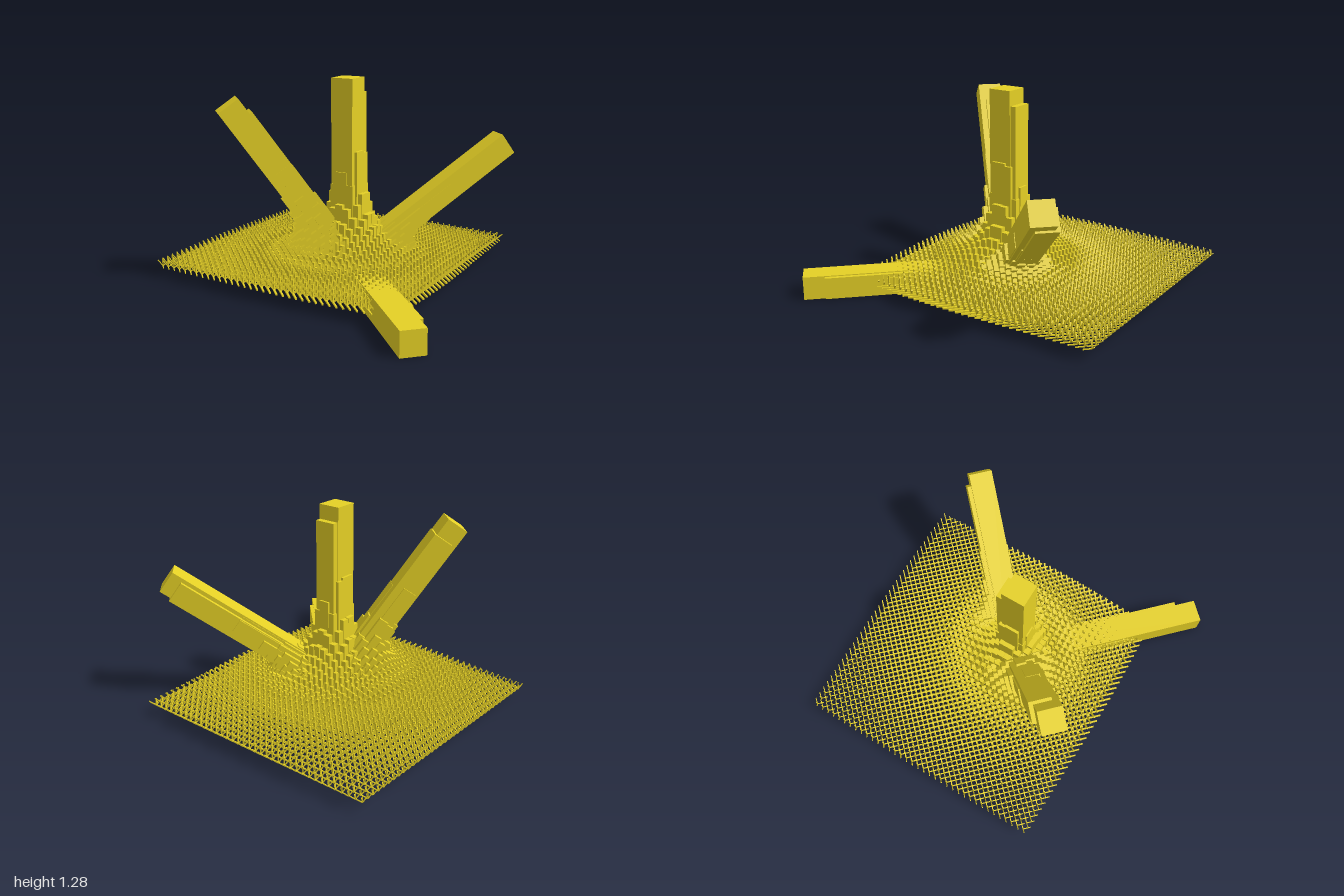
import * as THREE from 'three';
import { mergeGeometries } from 'three/addons/utils/BufferGeometryUtils.js';

const STEP = 0.0455;   // grid spacing
const WIDTH = 0.15;    // bar thickness at full size
const BASE = 0.075;    // height of the grid plane
const CENTER = new THREE.Vector3(0.017, BASE, 0.025);

// Every cluster has one upright bar and three mutually perpendicular ones.
const BARS = [
  { name: 'uprightBars', dir: [0, 1, 0], length: 1.205 },
  { name: 'levelBars', dir: [1, 0, 1], length: 1.3 },
  { name: 'lowLeaningBars', dir: [1, 1, -1], length: 1.3 },
  { name: 'steepLeaningBars', dir: [-1, 2, 1], length: 1.3 },
];

// Square bar starting at the origin and pointing along dir.
function makeBar(dir, length) {
  const bar = new THREE.BoxGeometry(WIDTH, length, WIDTH);
  bar.translate(0, length / 2, 0);
  const along = new THREE.Vector3(...dir).normalize();
  if (along.y > 0.99) return bar;
  const side = new THREE.Vector3(0, 1, 0).cross(along).normalize();
  const third = side.clone().cross(along);
  return bar.applyMatrix4(new THREE.Matrix4().makeBasis(side, along, third));
}

// Grid positions with a size that falls off with distance from the middle.
function makePlacements() {
  const list = [];
  for (let i = -22; i <= 14; i++) {
    for (let j = -22; j <= 14; j++) {
      const distance = Math.hypot(i, j + 0.455);
      const size = 1.055 / (distance + 0.6);
      list.push(new THREE.Matrix4()
        .makeTranslation(CENTER.x + i * STEP, CENTER.y, CENTER.z + j * STEP)
        .scale(new THREE.Vector3(size, size, size)));
    }
  }
  return list;
}

export function createModel() {
  const group = new THREE.Group();
  group.name = 'barField';
  const material = new THREE.MeshStandardMaterial({ color: 0xe5d025 });
  const placements = makePlacements();
  for (const { name, dir, length } of BARS) {
    const bar = makeBar(dir, length);
    const copies = placements.map((m) => bar.clone().applyMatrix4(m));
    const mesh = new THREE.Mesh(mergeGeometries(copies), material);
    mesh.name = name;
    group.add(mesh);
  }
  return group;
}
